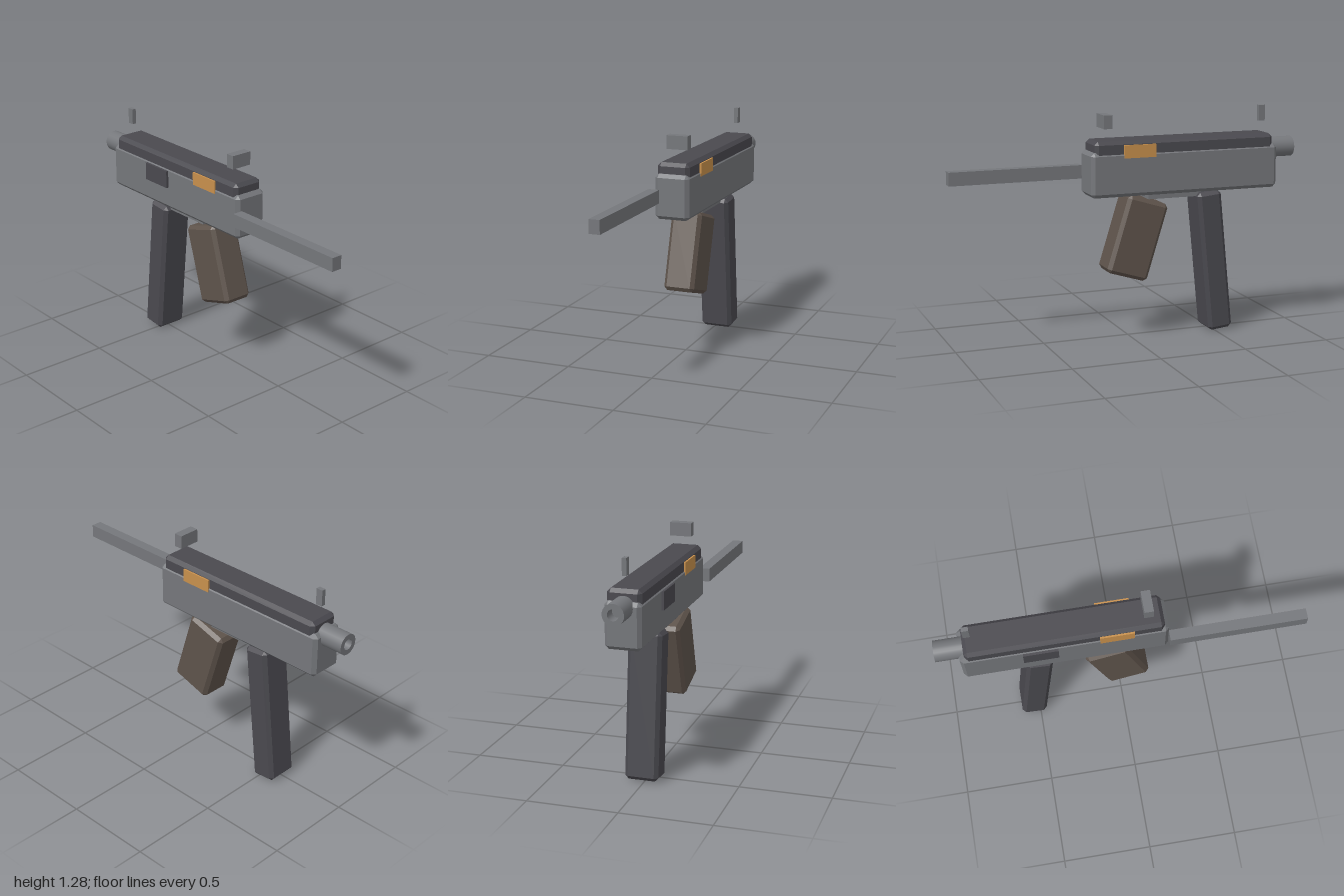
import * as THREE from 'three';
import { ConvexGeometry } from 'three/addons/geometries/ConvexGeometry.js';

const CX = 0.012; // centre line of the main assembly
const STEEL = 0x75777b, DARK = 0x4a494f, BROWN = 0x5e534b, TAN = 0xc8904c;

// Box with every edge and corner cut by c
function chamferBox(w, h, d, c) {
  const points = [];
  for (const x of [-1, 1]) for (const y of [-1, 1]) for (const z of [-1, 1]) {
    for (let axis = 0; axis < 3; axis++) {
      const cut = [c, c, c];
      cut[axis] = 0;
      points.push(new THREE.Vector3(
        x * (w / 2 - cut[0]), y * (h / 2 - cut[1]), z * (d / 2 - cut[2])));
    }
  }
  return new ConvexGeometry(points);
}

export function createModel() {
  const model = new THREE.Group();

  const add = (name, geometry, color, x, y, z, tilt = 0) => {
    const mesh = new THREE.Mesh(geometry, new THREE.MeshStandardMaterial({ color }));
    mesh.name = name;
    mesh.position.set(x, y, z);
    mesh.rotation.x = tilt;
    model.add(mesh);
    return mesh;
  };
  // Plain block given by its limits on each axis
  const block = (name, color, [x0, x1], [y0, y1], [z0, z1]) =>
    add(name, new THREE.BoxGeometry(x1 - x0, y1 - y0, z1 - z0), color,
      (x0 + x1) / 2, (y0 + y1) / 2, (z0 + z1) / 2);

  // Receiver and its top cover
  add('receiver', chamferBox(0.196, 0.25, 1.12, 0.02), STEEL, CX, 0.945, -0.312);
  add('topCover', chamferBox(0.184, 0.1, 1.07, 0.02), DARK, CX, 1.08, -0.31);

  // Slanted grip and magazine
  add('grip', chamferBox(0.178, 0.45, 0.246, 0.02), BROWN, CX, 0.577, -0.028, -0.3);
  add('magazine', chamferBox(0.186, 0.81, 0.145, 0.02), DARK, CX, 0.413, -0.497, 0.1);

  // Hollow barrel, muzzle towards -z
  const profile = [[0, 0], [0.058, 0], [0.058, 0], [0.058, 0.17], [0.058, 0.17],
    [0.03, 0.17], [0.03, 0.17], [0.03, 0.1], [0.03, 0.1], [0, 0.1]]
    .map(([r, y]) => new THREE.Vector2(r, y));
  // Separate lathes per profile segment keep the rims sharp
  const barrel = new THREE.Group();
  barrel.name = 'barrel';
  const metal = new THREE.MeshStandardMaterial({ color: STEEL });
  for (let i = 0; i < profile.length; i += 2) {
    const part = new THREE.Mesh(
      new THREE.LatheGeometry([profile[i], profile[i + 1]], 24), metal);
    part.name = 'barrelSurface';
    barrel.add(part);
  }
  barrel.position.set(CX, 1.04, -0.83);
  barrel.rotation.x = -Math.PI / 2;
  model.add(barrel);

  // Stock bar, sights, port, side plates and lower rail
  block('stock', STEEL, [-0.117, -0.057], [0.91, 0.985], [0.25, 1]);
  block('rearSight', STEEL, [-0.048, 0.074], [1.195, 1.27], [0.115, 0.165]);
  block('frontSight', STEEL, [0, 0.024], [1.195, 1.285], [-0.83, -0.792]);
  block('ejectionPort', DARK, [-0.1, -0.06], [0.95, 1.05], [-0.54, -0.35]);
  block('sidePlates', TAN, [-0.09, 0.114], [1.035, 1.107], [-0.125, 0.06]);
  block('lowerRail', STEEL, [CX - 0.05, CX + 0.05], [0.79, 0.83], [-0.42, -0.1]);

  return model;
}
